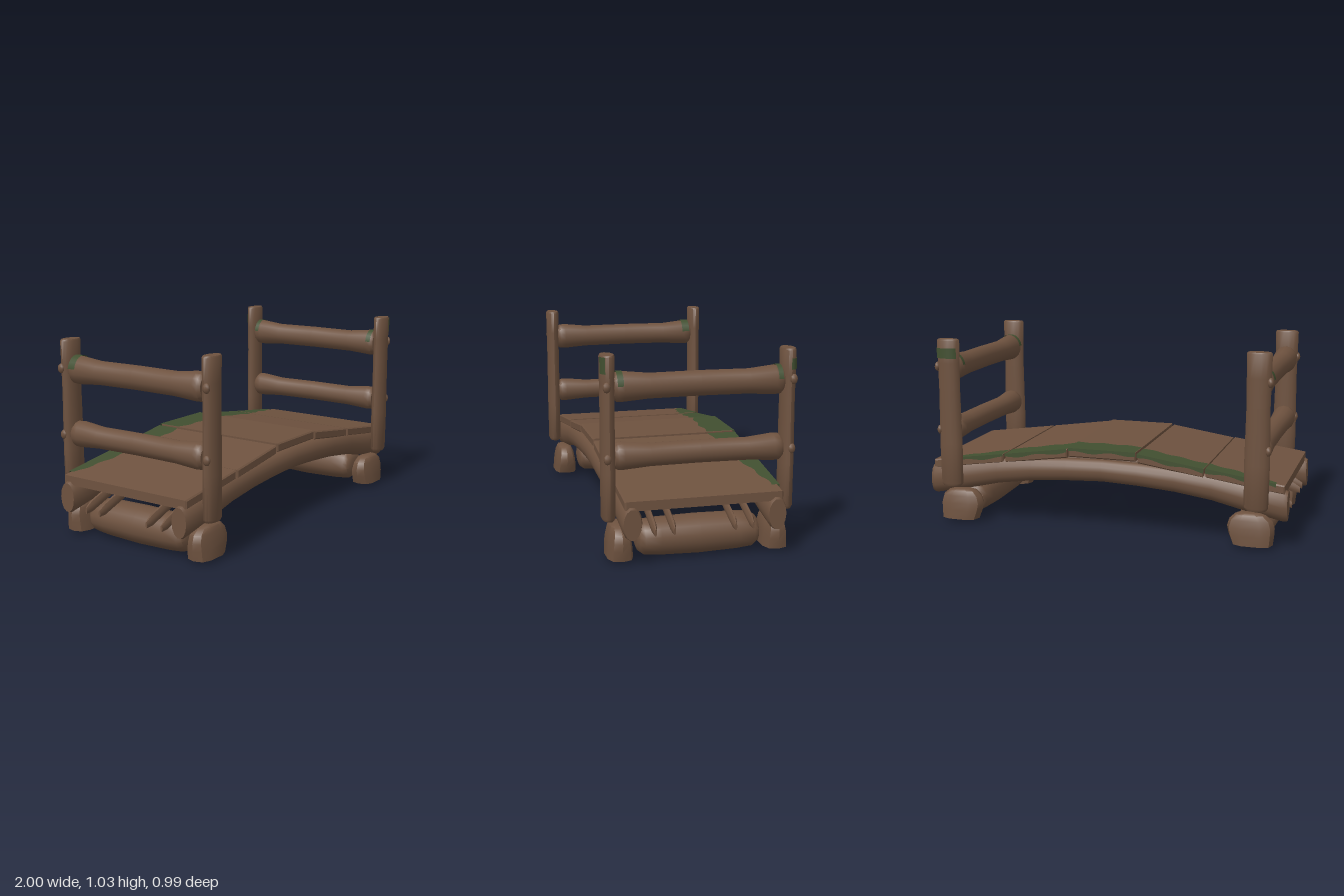
import * as THREE from 'three';
import { toCreasedNormals } from 'three/addons/utils/BufferGeometryUtils.js';

const wood = new THREE.MeshStandardMaterial({ color: 0x6e523f });
wood.name = 'brown wood';
const moss = new THREE.MeshStandardMaterial({ color: 0x414f30, side: THREE.DoubleSide });
moss.name = 'green moss';

// Closed log along an axis. Stations are [along, centreU, centreV, radiusU, radiusV];
// u and v are the next axes in the order x, y, z. A low power gives squarer sections.
function logGeometry(axis, stations, sides = 14, power = 1) {
  const shift = { x: 0, y: 1, z: 2 }[axis];
  const positions = [];
  const soft = (v) => Math.sign(v) * Math.pow(Math.abs(v), power);
  const place = (t, u, v) => {
    const p = [];
    [t, u, v].forEach((value, i) => { p[(i + shift) % 3] = value; });
    return p;
  };
  const point = (i, j) => {
    const [t, cu, cv, ru, rv] = stations[i];
    const a = ((j % sides) + 0.5) / sides * Math.PI * 2;
    return place(t, cu + ru * soft(Math.cos(a)), cv + rv * soft(Math.sin(a)));
  };
  const last = stations.length - 1;
  const centre = (i) => place(...stations[i].slice(0, 3));
  for (let j = 0; j < sides; j++) {
    for (let i = 0; i < last; i++) {
      const a = point(i, j), b = point(i, j + 1), c = point(i + 1, j + 1), d = point(i + 1, j);
      positions.push(...a, ...b, ...c, ...a, ...c, ...d);
    }
    positions.push(...centre(0), ...point(0, j + 1), ...point(0, j));
    positions.push(...centre(last), ...point(last, j), ...point(last, j + 1));
  }
  const geometry = new THREE.BufferGeometry();
  geometry.setAttribute('position', new THREE.Float32BufferAttribute(positions, 3));
  return toCreasedNormals(geometry, 0.75);
}

// Mirrors half a list of stations (from the middle outwards) about zero
const bothWays = (half) => [
  ...half.slice().reverse().map(([t, ...rest]) => [-t, ...rest]),
  ...half.slice(half[0][0] === 0 ? 1 : 0),
];

// Plank with its top running from (x0, y0) to (x1, y1)
function plankGeometry(x0, y0, x1, y1, halfDepth) {
  const bevel = 0.007, thick = 0.048;
  const shape = new THREE.Shape([[x0, y0 - thick], [x1, y1 - thick], [x1, y1], [x0, y0]]
    .map(([x, y]) => new THREE.Vector2(x, y)));
  return new THREE.ExtrudeGeometry(shape, {
    depth: 2 * (halfDepth - bevel), bevelEnabled: true, bevelSegments: 1,
    bevelSize: bevel, bevelThickness: bevel, bevelOffset: -bevel,
  }).translate(0, 0, -halfDepth + bevel);
}

// Depth of the moss edge along the bridge, [x, z]
const mossEdge = [[-0.95, -0.37], [-0.8, -0.33], [-0.57, -0.29], [-0.2, -0.265], [0, -0.245],
  [0.2, -0.25], [0.55, -0.28], [0.62, -0.31], [0.76, -0.34], [0.92, -0.37]];
function mossZ(x) {
  let i = 0;
  while (i < mossEdge.length - 2 && x > mossEdge[i + 1][0]) i++;
  const [xa, za] = mossEdge[i], [xb, zb] = mossEdge[i + 1];
  return THREE.MathUtils.lerp(za, zb, (x - xa) / (xb - xa)) + 0.008 * Math.sin(x * 42);
}

// Moss sheet on a plank's top, folded over its back edge
function mossGeometry(x0, y0, x1, y1) {
  const steps = 14;
  const geometry = new THREE.PlaneGeometry(1, 1, steps, 2);
  const p = geometry.attributes.position;
  for (let row = 0; row < 3; row++) {
    for (let i = 0; i <= steps; i++) {
      const x = THREE.MathUtils.lerp(Math.max(x0, -0.94), Math.min(x1, 0.91), i / steps);
      const y = THREE.MathUtils.lerp(y0, y1, (x - x0) / (x1 - x0)) + 0.003;
      const drop = row === 0 ? 0.02 + 0.006 * Math.sin(x * 30) : 0;
      p.setXYZ(row * (steps + 1) + i, x, y - drop, row === 2 ? mossZ(x) : -0.404);
    }
  }
  return toCreasedNormals(geometry, 0.6);
}

// Curved patch of moss wrapped on an upright log
const mossPatch = (rx, rz, height, start, length) =>
  new THREE.CylinderGeometry(1, 1, height, 12, 1, true, start, length).scale(rx, 1, rz);

export function createModel() {
  const model = new THREE.Group();
  model.name = 'wooden footbridge';
  const add = (name, geometry, material = wood) => {
    const mesh = new THREE.Mesh(geometry, material);
    mesh.name = name;
    model.add(mesh);
    return mesh;
  };

  // Arched side beams: [x, centre y, half height, half width]
  const beam = [[0, 0.34, 0.06, 0.047], [0.2, 0.333, 0.062, 0.047], [0.4, 0.32, 0.065, 0.048],
    [0.6, 0.296, 0.07, 0.048], [0.8, 0.257, 0.078, 0.05], [0.98, 0.228, 0.085, 0.052],
    [1, 0.225, 0.078, 0.045]];
  for (const s of [-1, 1]) {
    add('sideBeam', logGeometry('x', bothWays(beam.map(([x, y, h, w]) => [x, y, s * 0.366, h, w]))));
  }

  // Thin poles under the deck
  for (const z of [-0.245, -0.155, 0.155, 0.25]) {
    const half = [0, 0.2, 0.4, 0.6, 0.8, 0.95, 0.99].map((x, i) =>
      [x, 0.37 - 0.2 * x * x, z, i === 6 ? 0.018 : 0.03, i === 6 ? 0.006 : 0.015]);
    add('underPole', logGeometry('x', bothWays(half), 8));
  }

  // Deck planks and the moss along their back edge
  const planks = [[-0.985, 0.34, -0.57, 0.398], [-0.56, 0.396, -0.2, 0.45], [-0.19, 0.457, 0.185, 0.457],
    [0.195, 0.45, 0.555, 0.398], [0.568, 0.396, 0.985, 0.338]];
  planks.forEach((plank) => {
    add('deckPlank', plankGeometry(...plank, 0.4));
    add('deckMoss', mossGeometry(...plank), moss);
  });

  for (const sx of [-1, 1]) {
    // Cross log resting on the ground
    const x = sx * 0.82;
    add('footLog', logGeometry('z', bothWays([[0, x, 0.102, 0.105, 0.1], [0.2, x, 0.103, 0.103, 0.095],
      [0.28, x, 0.104, 0.1, 0.088], [0.305, x, 0.105, 0.085, 0.07], [0.314, x, 0.105, 0.06, 0.045]])));

    // Upper and lower rails, flared at the ends
    for (const [name, y, r] of [['upperRail', 0.872, 0.063], ['lowerRail', 0.532, 0.058]]) {
      add(name, logGeometry('z', bothWays([[0, sx * 0.85, y, 0.056, r], [0.25, sx * 0.85, y - 0.002, 0.058, r],
        [0.38, sx * 0.85, y, 0.066, r + 0.012], [0.41, sx * 0.85, y, 0.064, r + 0.01],
        [0.425, sx * 0.85, y, 0.052, r - 0.005]])));
    }

    for (const sz of [-1, 1]) {
      // Corner post
      const cx = sx * 0.848, cz = sz * 0.455;
      add('post', logGeometry('y', [[0.215, cz, cx, 0.028, 0.052], [0.23, cz, cx, 0.035, 0.063],
        [0.45, cz, cx, 0.036, 0.066], [0.75, cz, cx, 0.035, 0.061], [0.9, cz, cx, 0.036, 0.063],
        [1.022, cz, cx, 0.037, 0.065], [1.03, cz, cx, 0.033, 0.059]]));

      // Knots on the post
      for (const [y, dx, dz] of [[0.88, 0.06, 0.012], [0.53, 0.058, 0.01]]) {
        add('postKnot', new THREE.SphereGeometry(1, 8, 6).scale(0.017, 0.026, 0.02))
          .position.set(cx + sx * dx, y, cz + sz * dz);
      }

      // Squared footing stone
      add('footStone', logGeometry('y', [[0.02, sz * 0.4, sx * 0.825, 0.066, 0.107],
        [0.07, sz * 0.4, sx * 0.818, 0.063, 0.12], [0.11, sz * 0.4, sx * 0.815, 0.058, 0.125],
        [0.15, sz * 0.4, sx * 0.815, 0.05, 0.112], [0.178, sz * 0.402, sx * 0.812, 0.04, 0.08],
        [0.187, sz * 0.402, sx * 0.812, 0.025, 0.05]], 10, 0.7));
    }
  }

  // Moss on two posts
  add('postMoss', mossPatch(0.068, 0.04, 0.08, 0.3, 0.8), moss).position.set(0.848, 0.983, 0.455);
  add('postMoss', mossPatch(0.067, 0.04, 0.055, 1.5, 2.6), moss).position.set(0.848, 0.955, -0.455);

  // Moss on top of the rail ends
  for (const [x, z, length] of [[-0.85, -0.39, 0.045], [0.85, 0.4, 0.03], [0.85, -0.4, 0.025]]) {
    const patch = mossPatch(0.069, 0.078, length, Math.PI * 0.55, Math.PI * 0.9).rotateX(Math.PI / 2);
    add('railMoss', patch, moss).position.set(x, 0.872, z);
  }
  return model;
}
